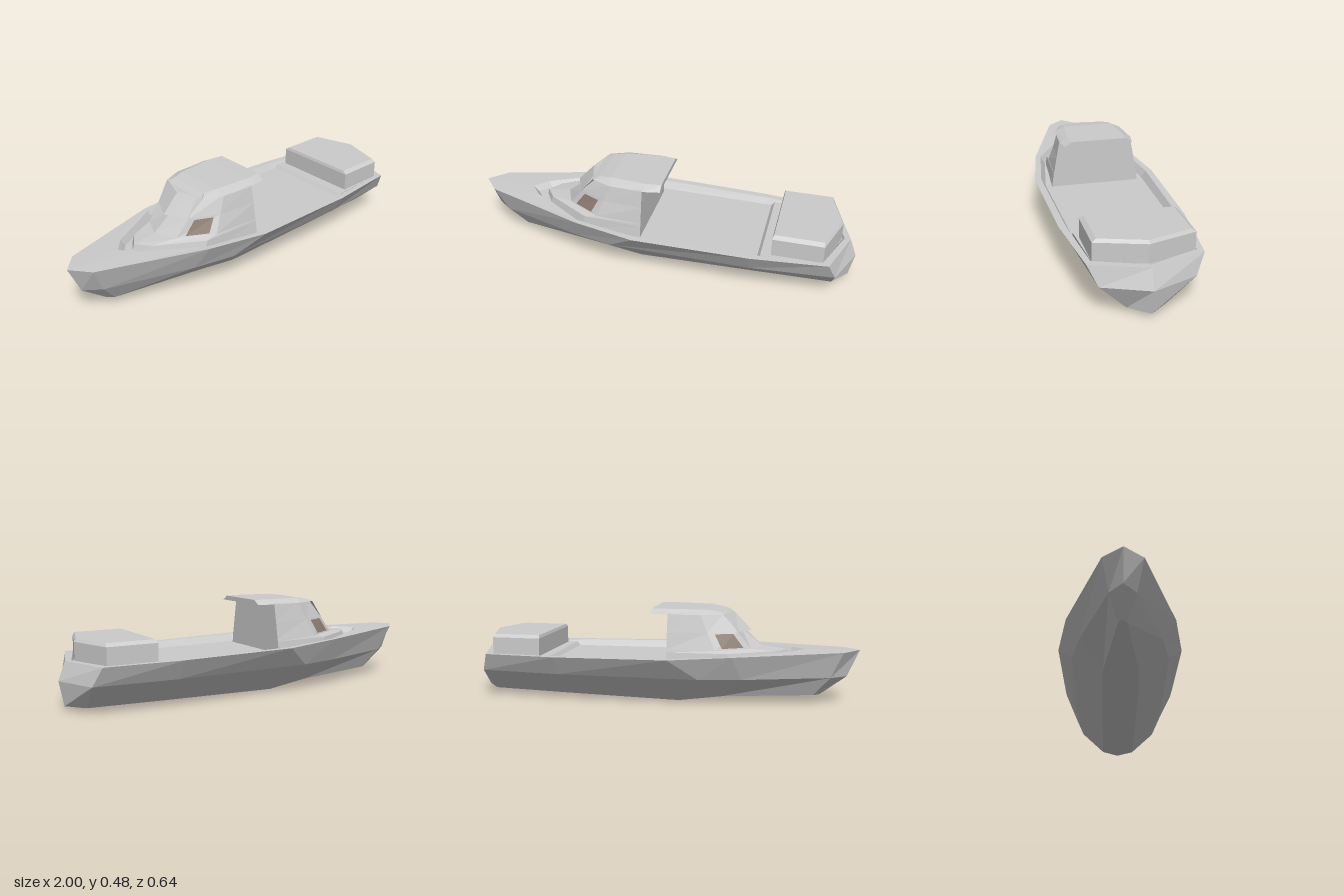
import * as THREE from 'three';

const grey = new THREE.MeshStandardMaterial({ color: 0xcccccc, flatShading: true, side: THREE.DoubleSide });
const tinted = new THREE.MeshStandardMaterial({ color: 0x8f7f74, flatShading: true, side: THREE.DoubleSide });

// Mirrors a half outline of [x, y, z] points (bow to stern) into a closed loop.
function closeLoop(half) {
  const mirrored = half.filter(p => p[2] > 0).reverse().map(([x, y, z]) => [x, y, -z]);
  return [...half, ...mirrored];
}

function quad(out, a, b, c, d) {
  for (const tri of [[a, b, c], [a, c, d]]) {
    const [p, q, r] = tri.map(v => new THREE.Vector3(...v));
    if (q.sub(p).cross(r.sub(p)).length() > 1e-7) out.push(...tri.flat());
  }
}

function meshFrom(name, positions, material) {
  const geometry = new THREE.BufferGeometry();
  geometry.setAttribute('position', new THREE.Float32BufferAttribute(positions, 3));
  geometry.computeVertexNormals();
  const mesh = new THREE.Mesh(geometry, material);
  mesh.name = name;
  return mesh;
}

// Joins symmetric outlines from bottom to top and closes both ends.
function loft(name, halves) {
  const out = [];
  const loops = halves.map(closeLoop);
  for (let k = 0; k + 1 < loops.length; k++) {
    const a = loops[k], b = loops[k + 1], n = a.length;
    for (let i = 0; i < n; i++) {
      const j = (i + 1) % n;
      quad(out, a[i], a[j], b[j], b[i]);
    }
  }
  const flip = ([x, y, z]) => [x, y, -z];
  const cap = (half, up) => {
    for (let i = 0; i + 1 < half.length; i++) {
      const p = half[i], q = half[i + 1];
      if (up) quad(out, p, q, flip(q), flip(p));
      else quad(out, p, flip(p), flip(q), q);
    }
  };
  cap(halves[0], false);
  cap(halves[halves.length - 1], true);
  return meshFrom(name, out, grey);
}

// Outline at one height
const level = (y, points) => points.map(([x, z]) => [x, y, z]);

export function createModel() {
  const boat = new THREE.Group();
  boat.name = 'boat';

  // Hull: keel, chine, gunwale, inner rim, sunken deck
  boat.add(loft('hull', [
    [[-0.81, 0.045, 0], [-0.78, 0.043, 0.02], [-0.32, 0.03, 0.085], [-0.1, 0, 0.09], [0.5, 0.012, 0.09], [0.9, 0.022, 0.09], [0.975, 0.022, 0]],
    level(0.143, [[-0.94, 0], [-0.86, 0.06], [-0.43, 0.195], [-0.22, 0.24], [0.5, 0.245], [0.915, 0.215], [1, 0]]),
    [[-1, 0.28, 0], [-0.92, 0.277, 0.09], [-0.39, 0.265, 0.265], [-0.08, 0.25, 0.318], [0.5, 0.241, 0.304], [0.88, 0.236, 0.26], [0.965, 0.235, 0]],
    [[-0.73, 0.275, 0], [-0.67, 0.273, 0.07], [-0.39, 0.264, 0.237], [-0.08, 0.25, 0.285], [0.5, 0.241, 0.27], [0.85, 0.236, 0.235], [0.935, 0.235, 0]],
    [[-0.7, 0.245, 0], [-0.65, 0.242, 0.06], [-0.38, 0.225, 0.215], [-0.08, 0.212, 0.262], [0.5, 0.21, 0.25], [0.84, 0.21, 0.228], [0.925, 0.21, 0]],
  ]));

  // Raised aft deck and engine box
  boat.add(loft('aftDeckStep', [
    level(0.205, [[0.53, 0.246], [0.84, 0.226], [0.92, 0]]),
    level(0.23, [[0.55, 0.25], [0.84, 0.23], [0.925, 0]]),
  ]));
  boat.add(loft('engineBox', [
    level(0.22, [[0.6, 0.23], [0.85, 0.23], [0.92, 0]]),
    level(0.32, [[0.6, 0.23], [0.85, 0.23], [0.92, 0]]),
    level(0.335, [[0.605, 0.21], [0.845, 0.21], [0.91, 0]]),
  ]));

  // Cabin with low foredeck trunk
  const sill = level(0.285, [[-0.52, 0], [-0.47, 0.11], [-0.3, 0.205], [-0.06, 0.22]]);
  const head = level(0.37, [[-0.41, 0], [-0.4, 0.12], [-0.26, 0.185], [-0.06, 0.205]]);
  boat.add(loft('cabin', [
    level(0.205, [[-0.66, 0], [-0.61, 0.075], [-0.38, 0.212], [-0.06, 0.232]]),
    level(0.272, [[-0.64, 0], [-0.59, 0.07], [-0.36, 0.207], [-0.06, 0.223]]),
    sill,
    head,
    level(0.46, [[-0.36, 0], [-0.33, 0.11], [-0.22, 0.17], [-0.06, 0.188]]),
  ]));

  // Roof with drooping front visor and rear overhang
  boat.add(loft('cabinRoof', [
    [[-0.46, 0.365, 0], [-0.405, 0.37, 0.115], [-0.33, 0.457, 0.14], [-0.235, 0.457, 0.18], [-0.05, 0.457, 0.19], [0.028, 0.457, 0.175]],
    [[-0.375, 0.455, 0], [-0.34, 0.46, 0.105], [-0.3, 0.47, 0.115], [-0.24, 0.478, 0.13], [-0.05, 0.48, 0.148], [0.028, 0.48, 0.14]],
  ]));

  // Side windows set on the angled cabin panels
  const at = (u, v) => {
    const [a, b, c, d] = [sill[1], sill[2], head[1], head[2]].map(p => new THREE.Vector3(...p));
    return a.lerp(b, u).lerp(c.lerp(d, u), v).add(new THREE.Vector3(-0.002, 0.001, 0.004));
  };
  for (const side of [1, -1]) {
    const corners = [[0.2, 0.08], [0.8, 0.08], [0.8, 0.9], [0.2, 0.9]].map(([u, v]) => {
      const p = at(u, v);
      return [p.x, p.y, p.z * side];
    });
    if (side < 0) corners.reverse();
    const out = [];
    quad(out, ...corners);
    boat.add(meshFrom(side > 0 ? 'leftWindow' : 'rightWindow', out, tinted));
  }
  return boat;
}
